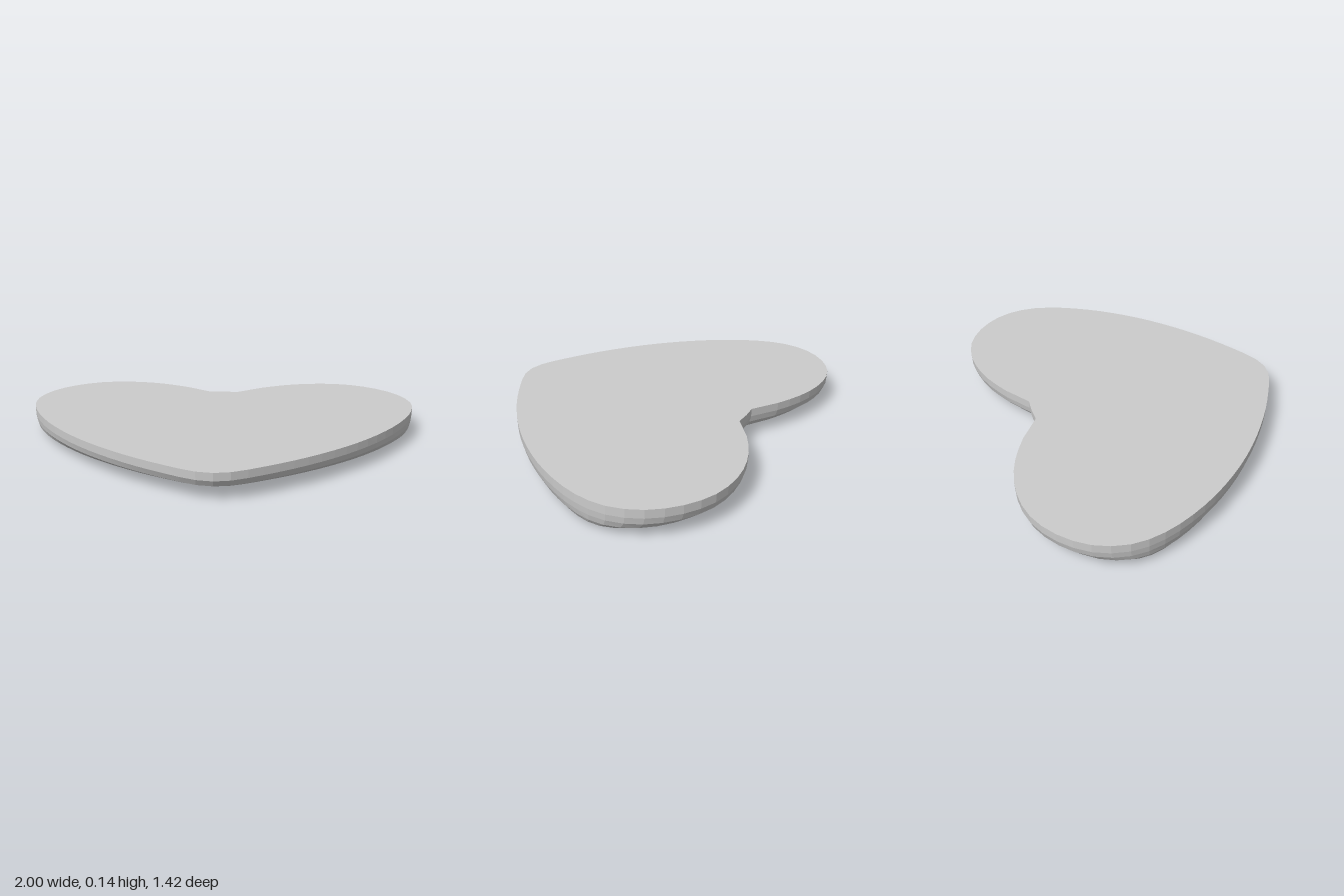
import * as THREE from 'three';

// Right half of the heart outline (x, z), from the notch round to the tip
const HALF = [
  [0, -0.522], [0.06, -0.513], [0.2, -0.604], [0.38, -0.684], [0.56, -0.713], [0.72, -0.69],
  [0.86, -0.61], [0.96, -0.49], [1, -0.345], [0.975, -0.19], [0.88, 0.01], [0.75, 0.19],
  [0.6, 0.347], [0.4, 0.508], [0.2, 0.633], [0.075, 0.695], [0, 0.708],
];

// Rings from the flat top to the rounded underside: [height, x scale, z scale]
const RINGS = [
  [0.139, 1, 1], [0.1, 1, 0.997], [0.07, 0.996, 0.975], [0.042, 0.988, 0.9],
  [0.02, 0.972, 0.76], [0.009, 0.945, 0.57], [0.002, 0.9, 0.38], [0, 0.6, 0.2],
];
const PIVOT_Z = -0.18;
const SEGMENTS = 72;

function heartOutline() {
  const mirrored = HALF.slice(1, -1).reverse().map(([x, z]) => [-x, z]);
  const points = [...HALF, ...mirrored].map(([x, z]) => new THREE.Vector3(x, 0, z));
  return new THREE.CatmullRomCurve3(points, true, 'centripetal').getSpacedPoints(SEGMENTS).slice(0, SEGMENTS);
}

function heartGeometry() {
  const outline = heartOutline();
  const positions = [];
  const index = [];
  for (const [y, sx, sz] of RINGS) {
    for (const p of outline) positions.push(p.x * sx, y, PIVOT_Z + (p.z - PIVOT_Z) * sz);
  }
  const last = (RINGS.length - 1) * SEGMENTS;
  const topCentre = positions.length / 3;
  positions.push(0, RINGS[0][0], PIVOT_Z, 0, 0, PIVOT_Z);

  for (let i = 0; i < SEGMENTS; i++) {
    const j = (i + 1) % SEGMENTS;
    // Rounded wall
    for (let k = 0; k < last; k += SEGMENTS) {
      const a = k + i, b = k + j, c = a + SEGMENTS, d = b + SEGMENTS;
      index.push(a, b, c, b, d, c);
    }
    // Flat top and bottom
    index.push(topCentre, j, i, topCentre + 1, last + i, last + j);
  }

  const indexed = new THREE.BufferGeometry();
  indexed.setAttribute('position', new THREE.Float32BufferAttribute(positions, 3));
  indexed.setIndex(index);
  const geometry = indexed.toNonIndexed();
  geometry.computeVertexNormals();
  return geometry;
}

export function createModel() {
  const group = new THREE.Group();
  group.name = 'heartPlate';
  const material = new THREE.MeshStandardMaterial({ color: 0xcccccc, flatShading: true });
  const heart = new THREE.Mesh(heartGeometry(), material);
  heart.name = 'heart';
  group.add(heart);
  return group;
}
